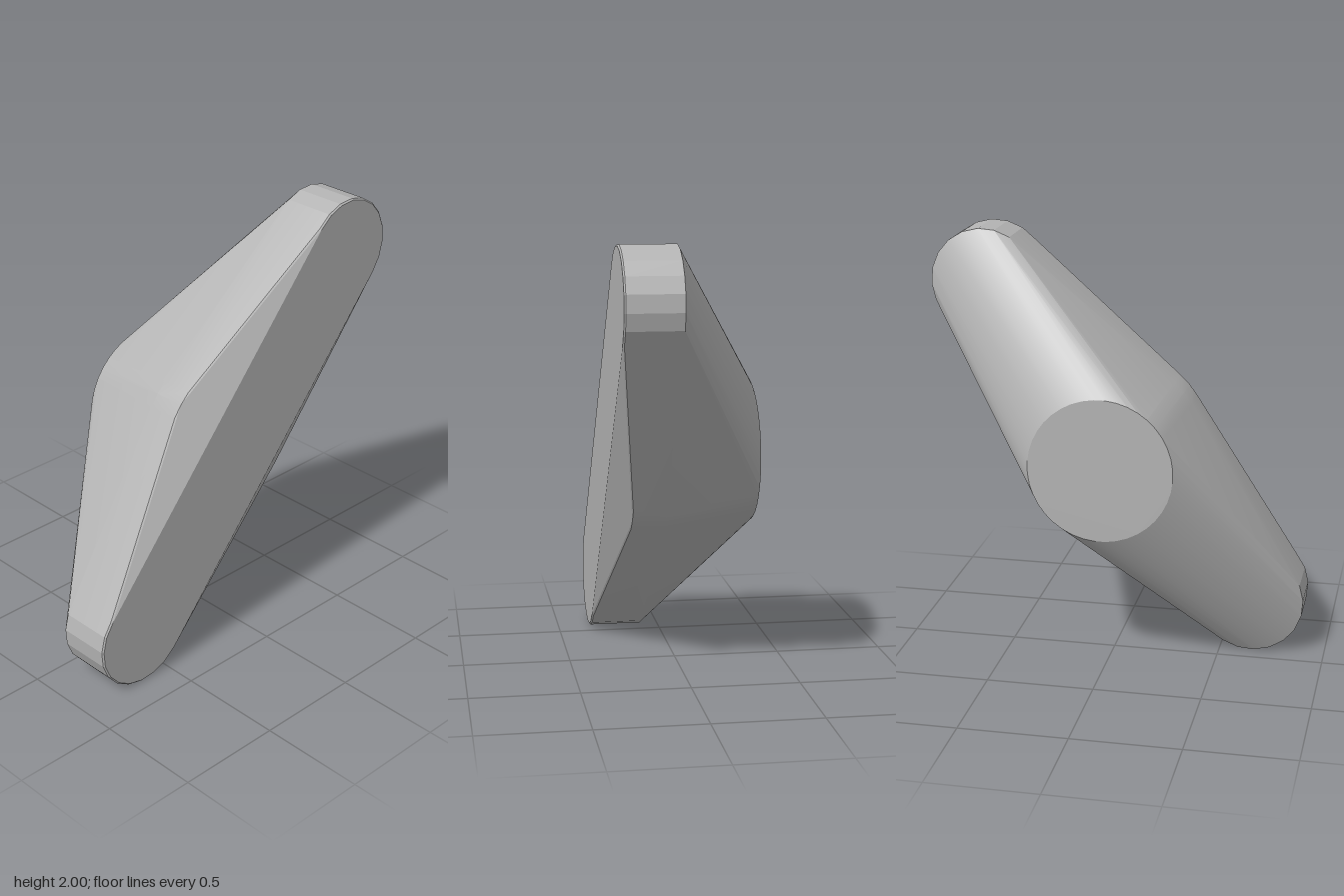
import * as THREE from 'three';
import { ConvexGeometry } from 'three/addons/geometries/ConvexGeometry.js';
import { toCreasedNormals } from 'three/addons/utils/BufferGeometryUtils.js';

export function createModel() {
  const group = new THREE.Group();
  const grey = new THREE.MeshStandardMaterial({ color: 0xb4b4b4 });
  grey.name = 'plain grey';

  const endX = 0.645, endY = 0.75;
  const tilt = Math.atan2(endY, endX); // slope of the long axis
  const points = [];

  // ring of points facing the front, centred on (x, 1 + y)
  function ring(x, y, z, radius, sides) {
    for (let i = 0; i < sides; i++) {
      const a = tilt + (i / sides) * Math.PI * 2;
      points.push(new THREE.Vector3(x + radius * Math.cos(a), 1 + y + radius * Math.sin(a), z));
    }
  }

  // rounded ends of the handle, with a fine bevel at the front
  for (const s of [-1, 1]) {
    ring(s * endX, s * endY, 0.09, 0.25, 20);
    ring(s * endX, s * endY, 0.338, 0.25, 20);
    ring(s * endX, s * endY, 0.345, 0.243, 20);
  }

  // wide hub in the middle, narrowing to the round base at the back
  ring(0, 0, 0.24, 0.41, 40);
  ring(0, 0, 0.09, 0.41, 40);
  ring(0, 0, -0.345, 0.335, 40);

  // one taut skin over all the rings
  const knob = new THREE.Mesh(toCreasedNormals(new ConvexGeometry(points), 0.2), grey);
  knob.name = 'knobBody';
  group.add(knob);
  return group;
}
